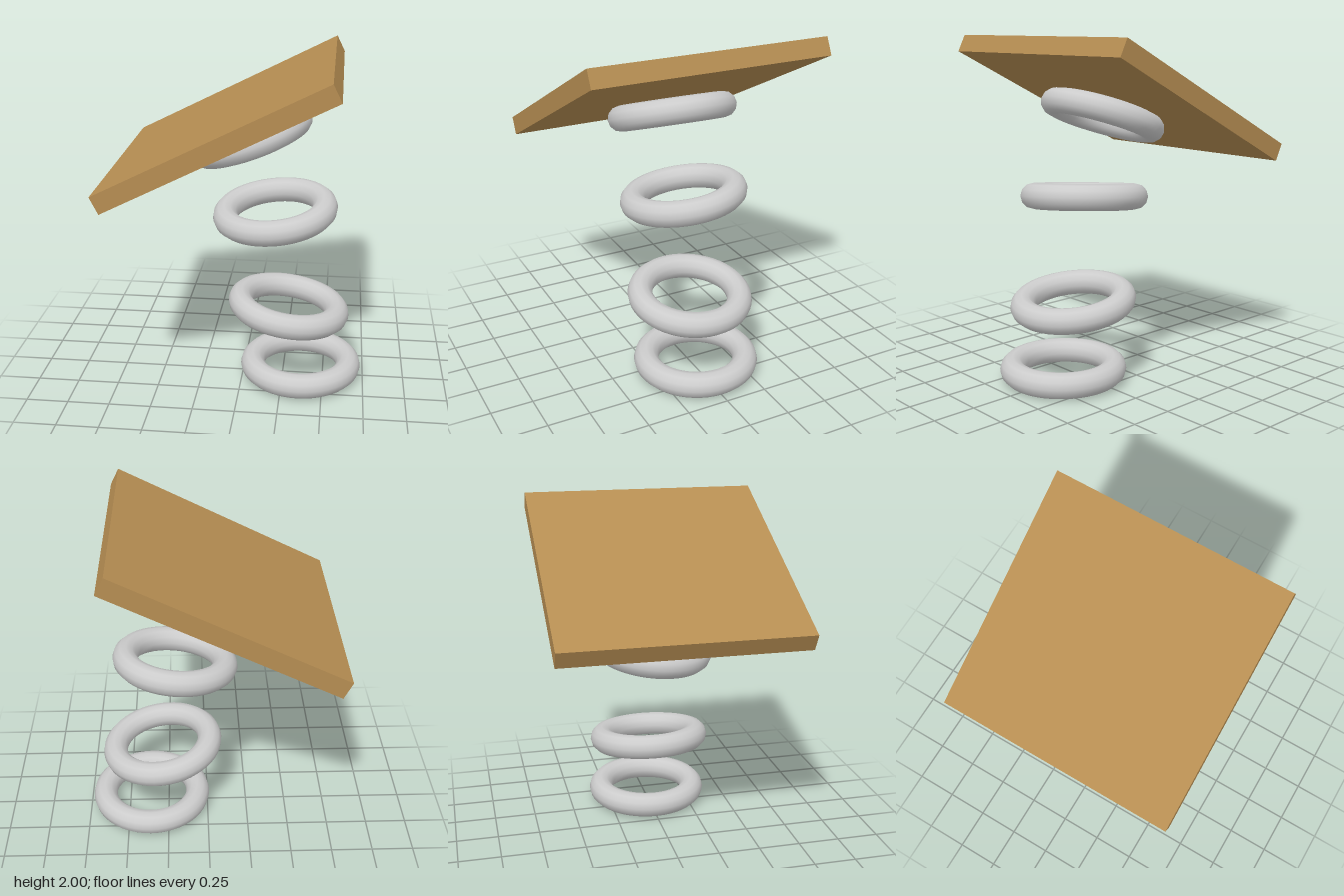
import * as THREE from 'three';

const deg = THREE.MathUtils.degToRad;

export function createModel() {
  const model = new THREE.Group();
  const grey = new THREE.MeshStandardMaterial({ color: 0xcccccc });
  const wood = new THREE.MeshStandardMaterial({ color: 0xb58d52 });

  // Loose stack of rings, lying flat and then tilted a little
  const ringGeometry = new THREE.TorusGeometry(0.297, 0.0745, 12, 48).rotateX(Math.PI / 2);
  const rings = [
    // name, x, y, tilt about x, tilt about z (degrees)
    ['bottomRing', 0.36, 0.0745, 0, 0],
    ['lowerRing', 0.28, 0.465, -1, -7.8],
    ['upperRing', 0.19, 1.08, 6, 6],
    ['topRing', 0.045, 1.538, -1, 20.2],
  ];
  for (const [name, x, y, tiltX, tiltZ] of rings) {
    const ring = new THREE.Mesh(ringGeometry, grey);
    ring.name = name;
    ring.position.set(x, y, 0);
    ring.rotation.set(deg(tiltX), 0, deg(tiltZ));
    model.add(ring);
  }

  // Slanted square board resting over the rings
  const board = new THREE.Mesh(new THREE.BoxGeometry(1.404, 0.107, 1.404), wood);
  board.name = 'board';
  board.position.set(-0.0875, 1.638, 0);
  board.rotation.z = deg(26.6);
  model.add(board);

  return model;
}
